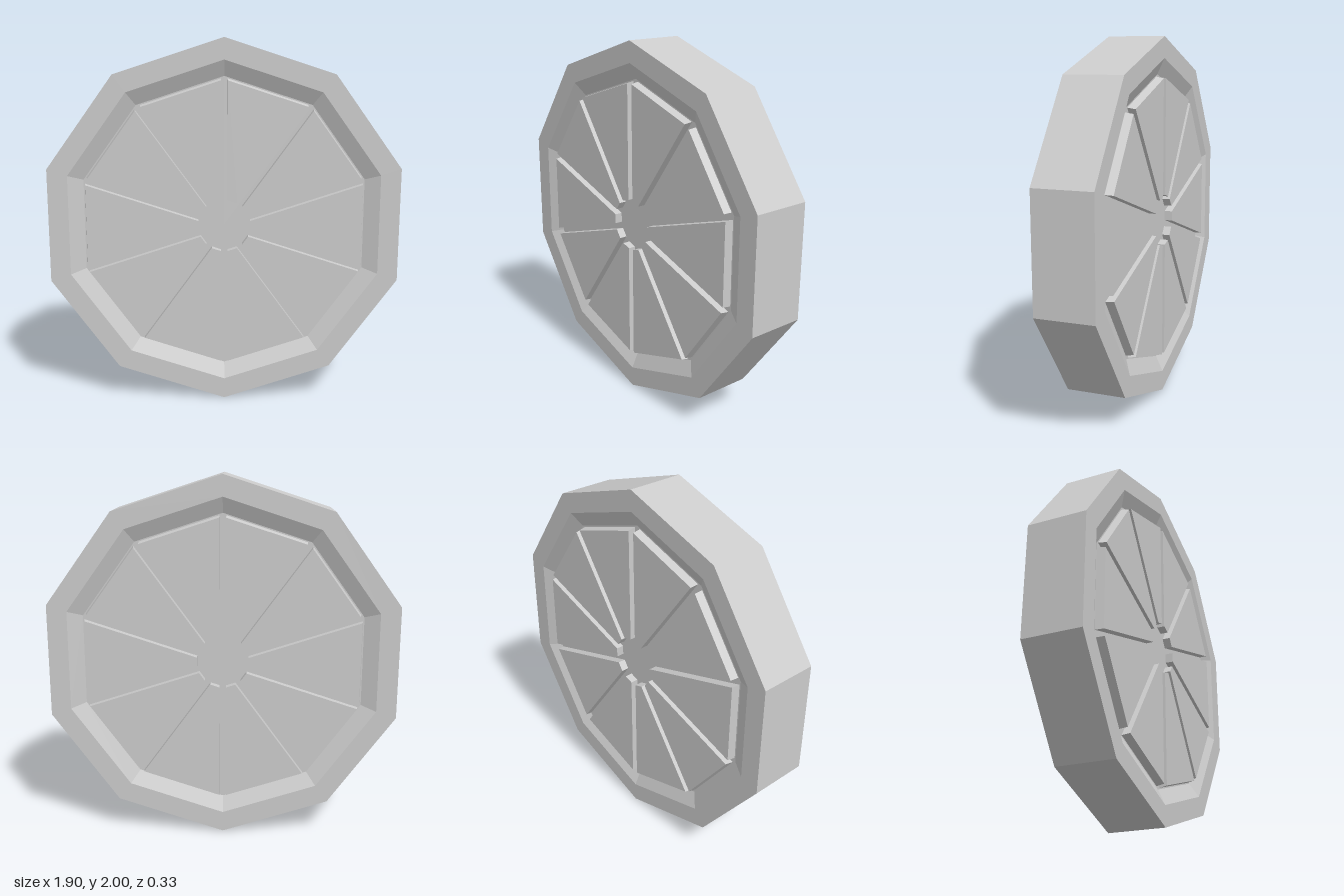
import * as THREE from 'three';

const SIDES = 10;
const FLOOR = 0.12;  // depth of the recessed face
const RIM = 0.16;    // half thickness of the rim
const TOP = 0.163;   // height of the raised segments

export function createModel() {
  const group = new THREE.Group();
  const mat = new THREE.MeshStandardMaterial({ color: 0xcccccc, flatShading: true });

  // Ten-sided body: flat rim sloping down to a recessed face on both sides
  const profile = [
    [0, -FLOOR], [0.8, -FLOOR], [0.885, -RIM], [1, -RIM],
    [1, RIM], [0.885, RIM], [0.8, FLOOR], [0, FLOOR],
  ].map(([r, y]) => new THREE.Vector2(r, y));
  const body = new THREE.Mesh(new THREE.LatheGeometry(profile, SIDES), mat);
  body.name = 'rim';
  body.rotation.x = Math.PI / 2;
  body.position.y = 1;
  group.add(body);

  // One raised segment: a trapezoid held clear of its neighbours by a narrow gap
  const half = (x) => x * Math.tan(Math.PI / SIDES) - 0.019;
  const inner = 0.14, outer = 0.756, base = FLOOR - 0.01;
  const shape = new THREE.Shape([
    new THREE.Vector2(inner, -half(inner)), new THREE.Vector2(outer, -half(outer)),
    new THREE.Vector2(outer, half(outer)), new THREE.Vector2(inner, half(inner)),
  ]);
  const wedge = new THREE.ExtrudeGeometry(shape, { depth: TOP - base, bevelEnabled: false });
  wedge.translate(0, 0, base);

  // Lean the outer wall slightly inwards
  const pos = wedge.attributes.position;
  for (let i = 0; i < pos.count; i++) {
    if (pos.getX(i) > 0.5 && pos.getZ(i) > FLOOR) {
      pos.setX(i, outer - 0.01);
      pos.setY(i, Math.sign(pos.getY(i)) * half(outer - 0.01));
    }
  }
  wedge.computeVertexNormals();

  // Ring of segments on the front and the back
  for (const side of ['front', 'back']) {
    const ring = new THREE.Group();
    ring.name = side + 'Segments';
    ring.position.y = 1;
    if (side === 'back') ring.rotation.y = Math.PI;
    for (let i = 0; i < SIDES; i++) {
      const segment = new THREE.Mesh(wedge, mat);
      segment.name = side + 'Segment';
      segment.rotation.z = (i / SIDES) * Math.PI * 2;
      ring.add(segment);
    }
    group.add(ring);
  }
  return group;
}
